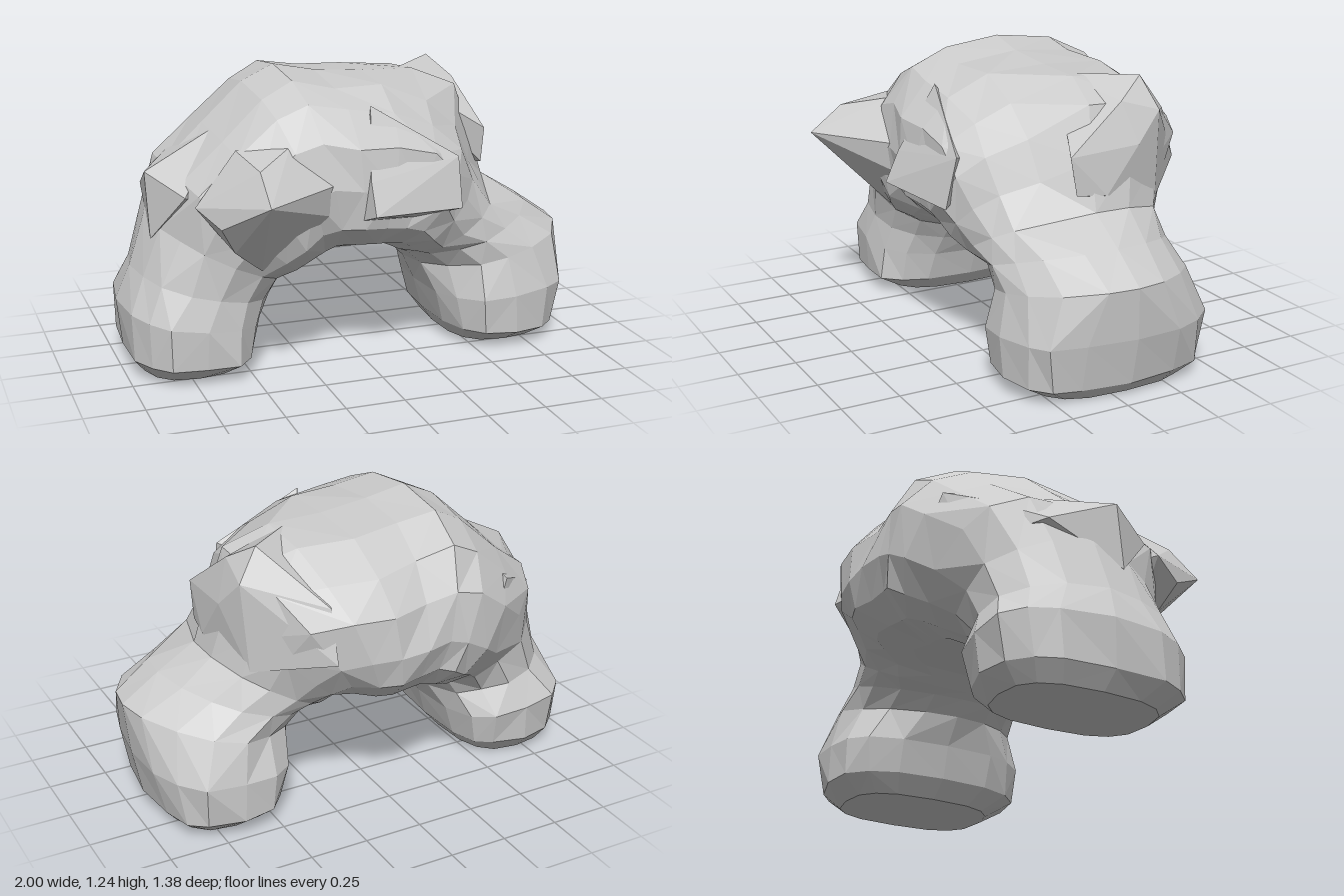
import * as THREE from 'three';
import { ConvexGeometry } from 'three/addons/geometries/ConvexGeometry.js';

const SIDES = 16;

// Arch sections from the left foot to the right foot:
// inner x, inner y, outer x, outer y, front z, back z, squareness (lower = boxier)
const SECTIONS = [
  [0.46, 0, 0.88, 0, 0.26, -0.40, 0.7],
  [0.40, 0.08, 0.94, 0.06, 0.37, -0.48, 0.7],
  [0.36, 0.22, 0.98, 0.26, 0.39, -0.50, 0.75],
  [0.30, 0.34, 1.00, 0.48, 0.36, -0.44, 1.1],
  [0.24, 0.40, 0.84, 0.59, 0.35, -0.43, 1.05],
  [0.20, 0.42, 0.69, 0.70, 0.38, -0.46, 0.95],
  [0.16, 0.44, 0.65, 0.92, 0.43, -0.53, 0.95],
  [0.12, 0.46, 0.57, 1.13, 0.46, -0.61, 0.9],
  [0.07, 0.465, 0.36, 1.18, 0.46, -0.68, 0.85],
  [0.02, 0.47, 0.12, 1.18, 0.47, -0.69, 0.8],
  [-0.05, 0.47, -0.10, 1.20, 0.48, -0.67, 0.8],
  [-0.12, 0.46, -0.28, 1.235, 0.47, -0.67, 0.85],
  [-0.17, 0.45, -0.42, 1.17, 0.46, -0.66, 0.8],
  [-0.22, 0.43, -0.60, 1.01, 0.45, -0.62, 0.75],
  [-0.26, 0.40, -0.78, 0.85, 0.41, -0.54, 0.75],
  [-0.31, 0.36, -0.87, 0.64, 0.36, -0.46, 0.9],
  [-0.36, 0.29, -0.94, 0.43, 0.36, -0.43, 0.95],
  [-0.41, 0.20, -1.00, 0.28, 0.38, -0.49, 0.75],
  [-0.45, 0.07, -0.98, 0.08, 0.37, -0.46, 0.65],
  [-0.51, 0, -0.93, 0, 0.26, -0.40, 0.7],
];

// How much the front of the left shoulder is cut back, by section
const NOTCH = { 5: 0.08, 6: 0.2, 7: 0.21, 8: 0.09 };

function seeded(seed) {
  return () => {
    seed = (seed * 16807) % 2147483647;
    return seed / 2147483647;
  };
}

// Faceted loft through rounded-box sections, roughened like chipped stone
function archGeometry() {
  const rnd = seeded(41);
  const jitter = (amount) => (rnd() - 0.5) * amount;
  const bend = (v, e) => Math.sign(v) * Math.pow(Math.abs(v), e);
  const last = SECTIONS.length - 1;

  const rings = SECTIONS.map(([ix, iy, ox, oy, zf, zb, squareness], i) => {
    const ring = [];
    const foot = i === 0 || i === last;
    const mid = (zf + zb) / 2, half = (zf - zb) / 2;
    const crown = Math.sin((Math.PI * i) / last) ** 2;
    for (let j = 0; j < SIDES; j++) {
      const a = (j / SIDES) * Math.PI * 2;
      const front = Math.sin(a) > 0;
      const extreme = j === 0 || j === SIDES / 2;
      let z = mid + half * bend(Math.sin(a), squareness);
      // the crown is widest below its middle, most of all at the back, where it undercuts
      const undercut = !front && Math.cos(a) > 0 ? 0.25 * crown : 0;
      let t = 0.5 - 0.5 * bend(Math.cos(a), squareness + undercut);
      t = Math.pow(t, 1 + crown * (front ? 0.15 : 0.4));
      t *= 1 - (NOTCH[i] ?? 0) * THREE.MathUtils.smoothstep(z, -0.15, 0.1);
      if (!foot && !extreme) {
        t += jitter(0.05) * t;
        z += jitter(0.03);
      }
      ring.push(new THREE.Vector3(ix + (ox - ix) * t, iy + (oy - iy) * t, z));
    }
    return ring;
  });

  const points = [];
  for (let i = 0; i < last; i++) {
    for (let j = 0; j < SIDES; j++) {
      const k = (j + 1) % SIDES;
      const a = rings[i][j], b = rings[i][k], c = rings[i + 1][k], d = rings[i + 1][j];
      // alternate the diagonal irregularly
      if (rnd() < 0.5) points.push(a, b, d, b, c, d);
      else points.push(a, b, c, a, c, d);
    }
  }
  // flat soles
  [0, last].forEach((i) => {
    const ring = rings[i];
    for (let j = 1; j < SIDES - 1; j++) {
      if (i === 0) points.push(ring[0], ring[j + 1], ring[j]);
      else points.push(ring[0], ring[j], ring[j + 1]);
    }
  });
  const geometry = new THREE.BufferGeometry().setFromPoints(points);
  geometry.computeVertexNormals();
  return geometry;
}

export function createModel() {
  const group = new THREE.Group();
  group.name = 'rockArch';
  const stone = new THREE.MeshStandardMaterial({ color: 0xcccccc, flatShading: true });
  const add = (name, geometry) => {
    const mesh = new THREE.Mesh(geometry, stone);
    mesh.name = name;
    group.add(mesh);
  };
  const boulder = (name, corners) =>
    add(name, new ConvexGeometry(corners.map((c) => new THREE.Vector3(...c))));

  add('archBody', archGeometry());

  // Pointed outcrop on the front
  boulder('frontSpur', [
    [-0.53, 0.83, 0.695], [-0.53, 0.94, 0.55], [-0.67, 0.70, 0.48], [-0.60, 0.58, 0.42],
    [-0.47, 0.47, 0.35], [-0.40, 0.62, 0.43], [-0.20, 0.70, 0.44], [-0.20, 0.83, 0.46],
    [-0.36, 0.99, 0.39], [-0.56, 0.97, 0.30], [-0.74, 0.76, 0.34], [-0.45, 0.75, 0.15],
  ]);

  // Low ledge over the opening
  boulder('frontLedge', [
    [-0.05, 0.71, 0.55], [-0.05, 0.84, 0.49], [-0.08, 0.66, 0.42], [0.13, 0.86, 0.46],
    [0.36, 0.90, 0.42], [0.36, 0.69, 0.47], [0.18, 0.66, 0.43], [0.0, 1.12, 0.34],
    [0.1, 0.8, 0.15],
  ]);

  // Slab shoulder on the left, tapering towards the back
  boulder('leftShoulder', [
    [0.52, 1.19, -0.33], [0.59, 1.11, -0.20], [0.64, 0.92, 0.06], [0.64, 0.76, 0.03],
    [0.66, 0.75, -0.10], [0.65, 0.94, -0.25], [0.61, 1.06, -0.37], [0.58, 0.68, -0.38],
    [0.32, 0.76, -0.64], [0.32, 0.98, -0.58], [0.25, 1.17, -0.10],
  ]);

  // Jutting crest on the right, running into the back
  boulder('rightCrest', [
    [-0.88, 0.85, 0.05], [-0.84, 0.73, -0.24], [-0.76, 0.78, 0.26], [-0.87, 0.57, 0.08],
    [-0.55, 1.02, 0.02], [-0.64, 0.86, -0.44], [-0.52, 0.92, -0.54], [-0.62, 0.65, -0.47],
    [-0.40, 0.66, -0.60], [-0.40, 0.60, 0.0],
  ]);

  return group;
}
